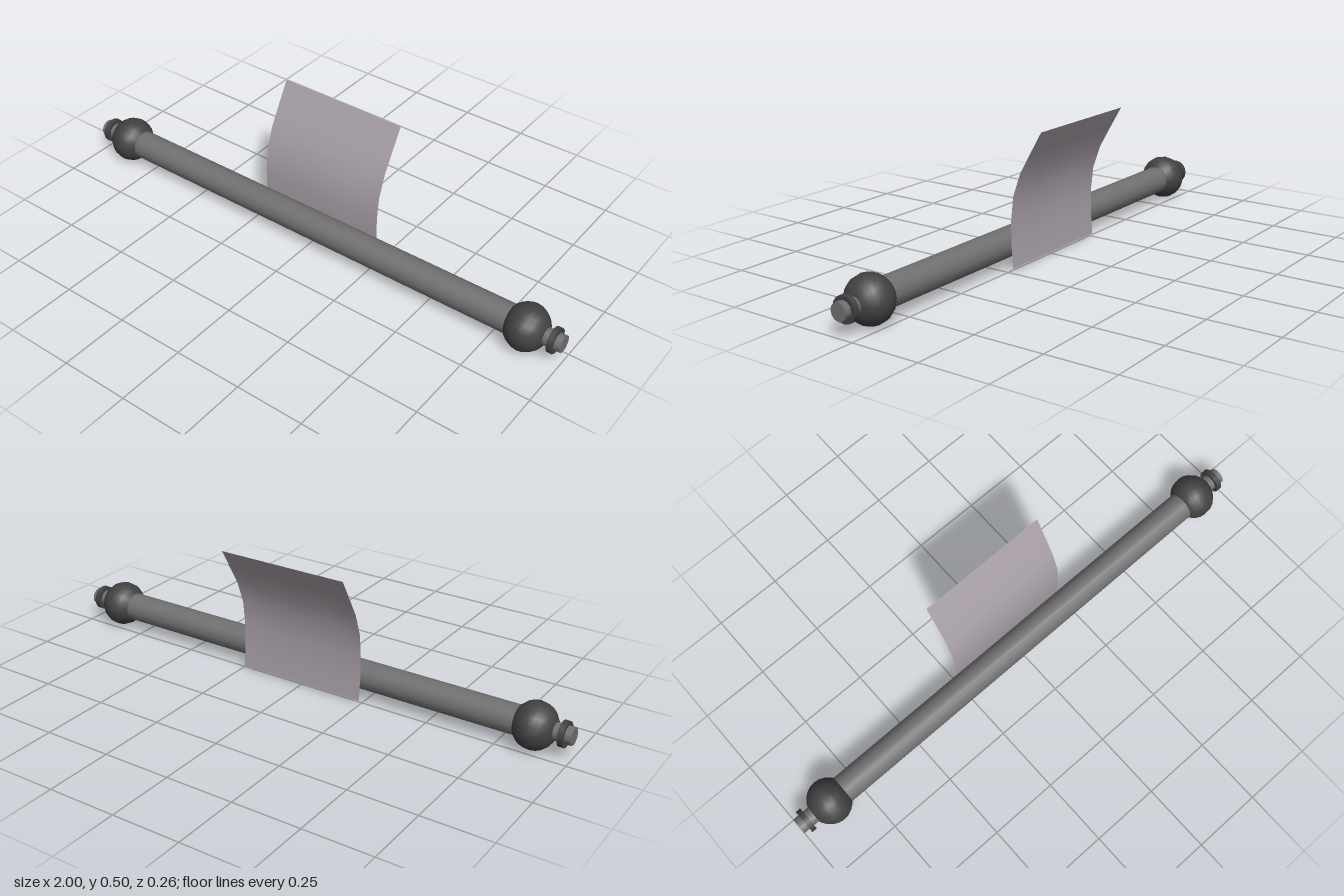
import * as THREE from 'three';

const AXIS_Y = 0.083, AXIS_Z = 0.05;

export function createModel() {
  const group = new THREE.Group();
  const steel = new THREE.MeshStandardMaterial({ color: 0x707070 });
  steel.name = 'grey steel';
  const iron = new THREE.MeshStandardMaterial({ color: 0x424242 });
  iron.name = 'dark iron';
  const cloth = new THREE.MeshStandardMaterial({ color: 0xa89fa7, side: THREE.DoubleSide });
  cloth.name = 'mauve cloth';

  const add = (name, geometry, material, x = 0) => {
    const mesh = new THREE.Mesh(geometry, material);
    mesh.name = name;
    mesh.position.set(x, AXIS_Y, AXIS_Z);
    group.add(mesh);
    return mesh;
  };
  // Cylinder lying along x
  const bar = (radius, length, sides) =>
    new THREE.CylinderGeometry(radius, radius, length, sides).rotateZ(-Math.PI / 2);

  add('rod', bar(0.052, 1.66, 16), steel);

  // Matching finials: ball, pin and collar
  for (const [side, s] of [['left', 1], ['right', -1]]) {
    const ball = new THREE.SphereGeometry(0.083, 16, 12).rotateZ(-Math.PI / 2);
    ball.scale(0.92, 1, 1);
    add(side + 'Ball', ball, iron, s * 0.867);
    add(side + 'Pin', bar(0.031, 0.1, 12), steel, s * 0.95);
    add(side + 'Collar', bar(0.045, 0.019, 16), iron, s * 0.968);
  }

  // Thin curved sheet behind the rod: [y, z] from bottom to top
  const profile = [[0.013, -0.014], [0.098, -0.007], [0.182, -0.007],
    [0.265, -0.016], [0.347, -0.045], [0.422, -0.087], [0.497, -0.13]];
  const sheet = new THREE.PlaneGeometry(0.485, 1, 4, profile.length - 1);
  const p = sheet.attributes.position;
  for (let i = 0; i < p.count; i++) {
    const row = Math.round((p.getY(i) + 0.5) * (profile.length - 1));
    p.setY(i, profile[row][0]);
    p.setZ(i, profile[row][1]);
  }
  sheet.computeVertexNormals();
  add('sheet', sheet, cloth).position.set(-0.003, 0, 0);

  return group;
}
